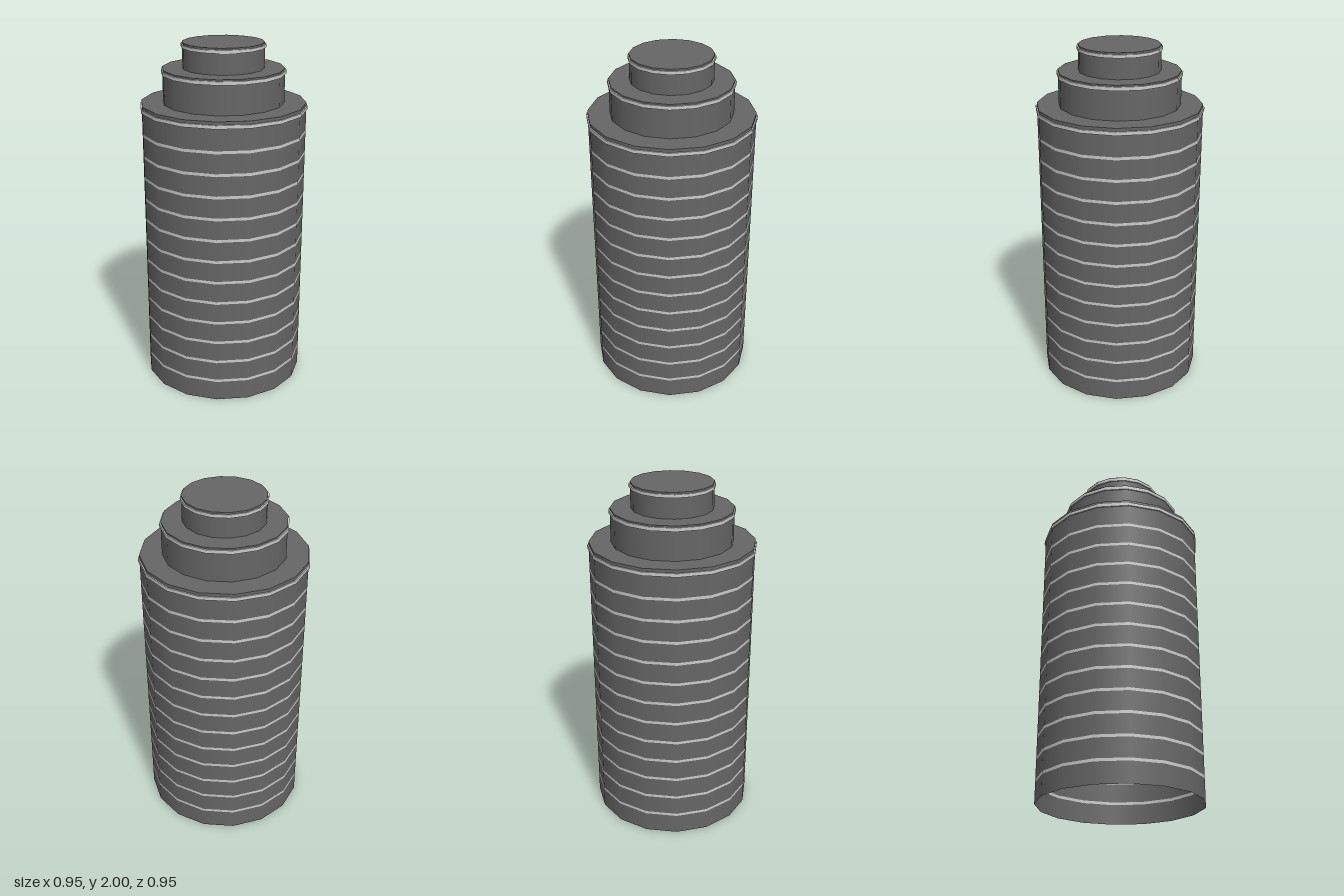
import * as THREE from 'three';

const SIDES = 16;

export function createModel() {
  const dark = new THREE.MeshStandardMaterial({ color: 0x666666, side: THREE.DoubleSide });
  dark.name = 'dark grey';
  const light = new THREE.MeshStandardMaterial({ color: 0xcccccc, side: THREE.DoubleSide });
  light.name = 'light grey';

  const model = new THREE.Group();
  model.name = 'steppedTower';

  const add = (name, geometry, material, y) => {
    const mesh = new THREE.Mesh(geometry, material);
    mesh.name = name;
    mesh.position.y = y;
    model.add(mesh);
  };

  // Open wall segment between two heights
  const wall = (name, radius, y0, y1, material) =>
    add(name, new THREE.CylinderGeometry(radius, radius, y1 - y0, SIDES, 1, true), material, (y0 + y1) / 2);

  // Flat roof disc, with corners aligned to the walls
  const roof = (name, radius, y) =>
    add(name, new THREE.CircleGeometry(radius, SIDES).rotateX(-Math.PI / 2), dark, y);

  // Raised trim ring: outer band with narrow ledges above and below
  const trim = (name, radius, y, height) => {
    const outer = radius + 0.007;
    const h = height / 2;
    wall(name + 'Band', outer, y - h, y + h, light);
    for (const s of [-1, 1]) {
      const ledge = new THREE.RingGeometry(radius - 0.002, outer, SIDES).rotateX(-s * Math.PI / 2);
      add(name + 'Ledge', ledge, light, y + s * h);
    }
  };

  // Main shaft: dark storeys separated by flush light stripes
  const R = 0.468, step = 0.125, half = 0.008, shaftTop = 1.665;
  let y = 0;
  for (let i = 1; i <= 12; i++) {
    wall('storeyWall', R, y, i * step - half, dark);
    wall('floorStripe', R, i * step - half, i * step + half, light);
    y = i * step + half;
  }
  wall('storeyWall', R, y, shaftTop, dark);
  roof('shaftRoof', R, shaftTop);
  trim('shaftTrim', R, 1.637, 0.02);

  // Middle tier
  wall('middleWall', 0.344, shaftTop, 1.857, dark);
  roof('middleRoof', 0.344, 1.857);
  trim('middleTrim', 0.344, 1.838, 0.02);

  // Top tier
  wall('topWall', 0.23, 1.857, 2, dark);
  roof('topRoof', 0.23, 2);
  trim('topTrim', 0.23, 1.981, 0.018);

  return model;
}
